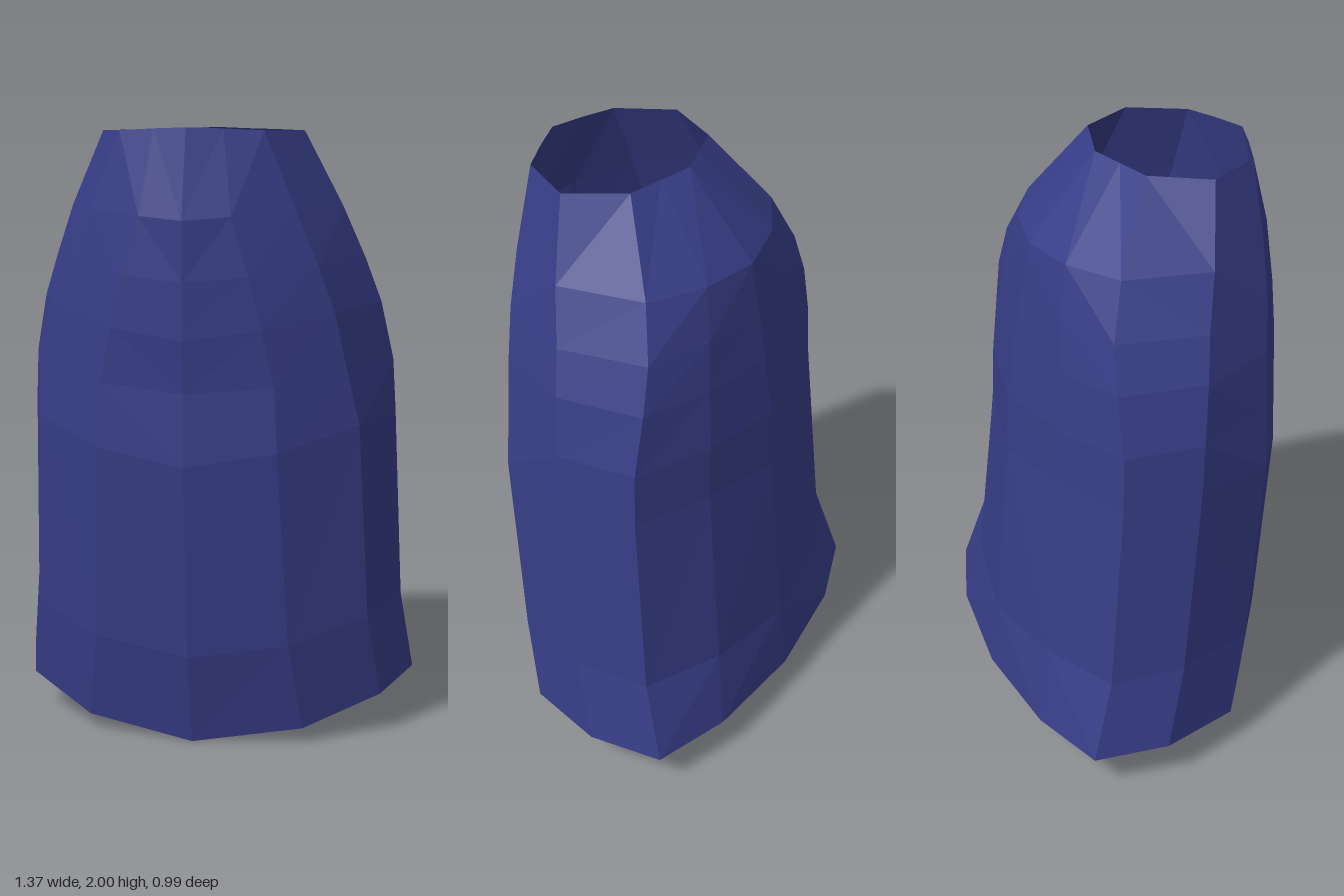
import * as THREE from 'three';

// Heights of the eight rings, along the front, side and back of the sleeve
const FRONT = [0, 0.31, 0.95, 1.18, 1.35, 1.53, 1.72, 2];
const SIDE = [0.15, 0.43, 1.08, 1.25, 1.44, 1.58, 1.75, 1.99];
const BACK = [0.13, 0.36, 1.0, 1.2, 1.4, 1.57, 1.73, 2];

const blend = (a, b, t) => a.map((v, i) => v + (b[i] - v) * t);
const ZERO = FRONT.map(() => 0);

// Vertical ribs of the left half, from front centre to back centre
const frontCentre = { x: ZERO, y: FRONT, z: [0.36, 0.43, 0.49, 0.48, 0.495, 0.497, 0.497, 0.43] };
const frontPanel = {
  x: [0.36, 0.32, 0.29, 0.28, 0.24, 0.2, 0.145, 0.11],
  y: blend(SIDE, FRONT, 0.65),
  z: [0.31, 0.375, 0.44, 0.435, 0.45, 0.455, 0.455, 0.395],
};
const frontCorner = {
  x: [0.6, 0.56, 0.53, 0.49, 0.45, 0.4, 0.33, 0.23],
  y: blend(SIDE, FRONT, 0.1),
  z: [0.155, 0.22, 0.28, 0.295, 0.31, 0.33, 0.345, 0.35],
};
const sideCentre = {
  x: [0.685, 0.645, 0.62, 0.61, 0.57, 0.52, 0.45, 0.33],
  y: SIDE,
  z: [-0.12, -0.05, 0.01, 0.02, 0.045, 0.07, 0.115, 0.17],
};
const backCorner = {
  x: [0.645, 0.6, 0.57, 0.56, 0.51, 0.455, 0.38, 0.225],
  y: blend(SIDE, BACK, 0.3),
  z: [-0.37, -0.29, -0.235, -0.23, -0.23, -0.215, -0.16, -0.01],
};
const backPanel = {
  x: [0.38, 0.33, 0.3, 0.29, 0.27, 0.24, 0.2, 0.11],
  y: blend(SIDE, BACK, 0.6),
  z: [-0.46, -0.41, -0.345, -0.34, -0.32, -0.3, -0.265, -0.045],
};
const backCentre = { x: ZERO, y: BACK, z: [-0.497, -0.465, -0.405, -0.395, -0.365, -0.335, -0.305, -0.08] };

export function createModel() {
  const group = new THREE.Group();
  group.name = 'openSleeve';
  const navy = new THREE.MeshStandardMaterial({ color: 0x373d87, side: THREE.DoubleSide, flatShading: true });
  navy.name = 'navy blue';

  // Full loop of ribs: left half, then its mirror
  const half = [frontCentre, frontPanel, frontCorner, sideCentre, backCorner, backPanel, backCentre];
  const mirrored = half.slice(1, -1).reverse().map((r) => ({ ...r, x: r.x.map((v) => -v) }));
  const ribs = [...half, ...mirrored];

  // Join neighbouring ribs with quads, leaving both ends open
  const rows = FRONT.length;
  const positions = [];
  const index = [];
  ribs.forEach((rib, c) => {
    const next = (c + 1) % ribs.length;
    for (let r = 0; r < rows; r++) {
      positions.push(rib.x[r], rib.y[r], rib.z[r]);
      if (r === rows - 1) continue;
      const a = c * rows + r;
      const b = next * rows + r;
      // Mirror the diagonal on the right half
      if (c < 6) index.push(a, b, b + 1, a, b + 1, a + 1);
      else index.push(a, b, a + 1, b, b + 1, a + 1);
    }
  });
  const geometry = new THREE.BufferGeometry();
  geometry.setAttribute('position', new THREE.Float32BufferAttribute(positions, 3));
  geometry.setIndex(index);
  const faceted = geometry.toNonIndexed();
  faceted.computeVertexNormals();

  const shell = new THREE.Mesh(faceted, navy);
  shell.name = 'sleeveShell';
  group.add(shell);
  return group;
}
